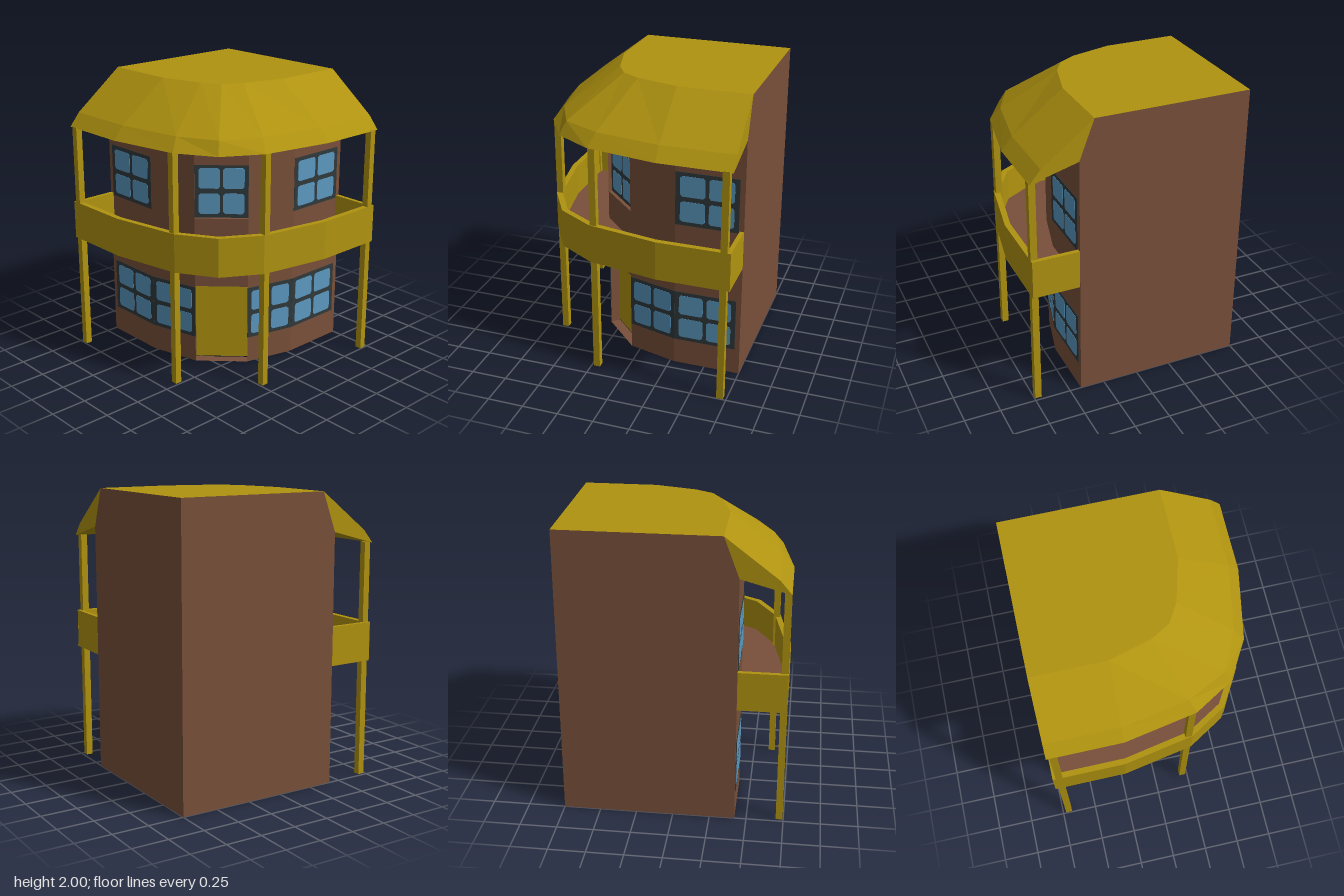
import * as THREE from 'three';

const mat = (name, color) => new THREE.MeshStandardMaterial({ name, color, side: THREE.DoubleSide });
const ochre = mat('ochre', 0xb09310);
const brick = mat('brown brick', 0x79503a);
const glass = mat('blue glass', 0x5b98c0);
const frameGrey = mat('dark frame', 0x303a3c);

// The building is symmetric about its diagonal: (x, z) -> (-z, -x)
const flip = ([x, z]) => [-z, -x];
const flip3 = ([x, y, z]) => [-z, y, -x];
const outline = (half, mid = []) => [...half, ...mid, ...half.map(flip).reverse()];

// Plan outlines, from the right end round the front to the back end
const wallHalf = [[0.75, 0.42], [0.28, 0.42], [-0.07, 0.33]];
const wall = outline(wallHalf, [[-0.2, 0.2]]);
const eave = outline([[0.75, 0.745], [0.25, 0.745], [-0.24, 0.655]], [[-0.5, 0.5]]);
const railInner = outline([[0.75, 0.705], [0.245, 0.705], [-0.225, 0.617]], [[-0.471, 0.471]]);
const kink = outline([[0.75, 0.67], [0.25, 0.67], [-0.2, 0.59]], [[-0.46, 0.46]]);
const crown = outline([[0.75, 0.32], [0.25, 0.32], [-0.04, 0.24]], [[-0.165, 0.165]]);
const EAVE = 1.64, KINK = 1.73, TOP = 2;
const RAIL0 = 0.825, RAIL1 = 1.095, FLOOR = 0.87;

const at = (line, y) => line.map(([x, z]) => [x, y, z]);

// Quads between a lower and an upper line
function strip(a, b) {
  return a.slice(1).map((p, i) => [a[i], b[i], b[i + 1], p]);
}

// Flat-shaded mesh from convex polygons
function facets(name, polygons, material) {
  const v = [];
  for (const p of polygons)
    for (let i = 1; i < p.length - 1; i++) v.push(...p[0], ...p[i], ...p[i + 1]);
  const g = new THREE.BufferGeometry();
  g.setAttribute('position', new THREE.Float32BufferAttribute(v, 3));
  g.computeVertexNormals();
  const m = new THREE.Mesh(g, material);
  m.name = name;
  return m;
}

function box(name, w, h, d, x, y, z, material) {
  const m = new THREE.Mesh(new THREE.BoxGeometry(w, h, d), material);
  m.position.set(x, y, z);
  m.name = name;
  return m;
}

// Pane outline with clipped corners
function paneGeometry(w, h, depth) {
  const c = 0.014, x = w / 2, y = h / 2;
  const s = new THREE.Shape([
    [-x + c, -y], [x - c, -y], [x, -y + c], [x, y - c],
    [x - c, y], [-x + c, y], [-x, y - c], [-x, -y + c],
  ].map(p => new THREE.Vector2(...p)));
  return new THREE.ExtrudeGeometry(s, { depth, bevelEnabled: false }).translate(0, 0, -depth / 2);
}

// Four-pane window between plan points a (left) and b (right), seen from inside and out
function windowUnit(name, a, b, y0, y1) {
  const dx = b[0] - a[0], dz = b[1] - a[1];
  const w = Math.hypot(dx, dz), h = y1 - y0;
  const g = new THREE.Group();
  g.name = name;
  g.position.set((a[0] + b[0]) / 2, (y0 + y1) / 2, (a[1] + b[1]) / 2);
  g.rotation.y = Math.atan2(-dz, dx);
  g.add(box('windowFrame', w, h, 0.006, 0, 0, 0, frameGrey));
  const pw = w * 0.395, ph = h * 0.385;
  const geo = paneGeometry(pw, ph, 0.0098);
  for (const sx of [-1, 1]) for (const sy of [-1, 1]) {
    const pane = new THREE.Mesh(geo, glass);
    pane.name = 'windowPane';
    pane.position.set(sx * (pw / 2 + w * 0.03), sy * (ph / 2 + h * 0.045), 0);
    g.add(pane);
  }
  return g;
}

// Opening in the corner face, set back by d along both axes
const cornerL = [-0.33, 0.07], cornerR = [-0.07, 0.33];
const setBack = ([x, z], d) => [x + d, z - d];
function recess(y0, y1, d) {
  const out = [cornerR, cornerL], inn = out.map(p => setBack(p, d));
  const jamb = i => [[out[i][0], y0, out[i][1]], [inn[i][0], y0, inn[i][1]],
    [inn[i][0], y1, inn[i][1]], [out[i][0], y1, out[i][1]]];
  return [jamb(0), jamb(1).reverse(),
    ...strip(at(out, y1), at(inn, y1)), ...strip(at(inn, y0), at(out, y0)).map(p => p.reverse())];
}

export function createModel() {
  const model = new THREE.Group();
  model.name = 'cornerBuilding';

  // Straight side and back walls
  const side = [[0.75, 0, 0.42], [0.75, 0, -0.75], [0.75, TOP, -0.75], [0.75, TOP, 0.32], [0.75, KINK, 0.42]];
  model.add(facets('sideWall', [side], brick));
  model.add(facets('backWall', [side.map(flip3).reverse()], brick));

  // Bowed street walls
  const right = wallHalf, left = wallHalf.map(flip).reverse();
  model.add(facets('streetWalls', [right, left].flatMap(l => strip(at(l, 0), at(l, KINK))), brick));

  // Corner wall with door and window recesses
  const corner = [cornerR, cornerL];
  const DOOR = 0.58, WIN0 = 1.08, WIN1 = 1.46;
  model.add(facets('cornerWall', [
    ...strip(at(corner, DOOR), at(corner, WIN0)),
    ...strip(at(corner, WIN1), at(corner, KINK)),
    ...recess(0, DOOR, 0.05), ...recess(WIN0, WIN1, 0.02),
  ], brick));
  const doorLine = corner.map(p => setBack(p, 0.05));
  model.add(facets('door', strip(at(doorLine, 0.005), at(doorLine, DOOR)), ochre));
  model.add(windowUnit('cornerWindow', setBack(cornerL, 0.02), setBack(cornerR, 0.02), WIN0, WIN1));

  // Street windows, mirrored across the diagonal
  const units = [
    [[-0.07, 0.33], [0.28, 0.42], 0.19, 0.57],
    [[0.28, 0.42], [0.715, 0.42], 0.19, 0.57],
    [[0.28, 0.42], [0.715, 0.42], WIN0, WIN1],
  ];
  for (const [a, b, y0, y1] of units) {
    model.add(windowUnit('frontWindow', a, b, y0, y1));
    model.add(windowUnit('sideWindow', flip(b), flip(a), y0, y1));
  }

  // Balcony parapet, floor and end panels
  model.add(facets('balconyParapet', [
    ...strip(at(eave, RAIL0), at(eave, RAIL1)),
    ...strip(at(eave, RAIL1), at(railInner, RAIL1)),
    ...strip(at(railInner, RAIL1), at(railInner, FLOOR)),
  ], ochre));
  model.add(facets('balconyFloor', [
    ...strip(at(railInner, FLOOR), at(wall, FLOOR)),
    ...strip(at(wall, RAIL0), at(eave, RAIL0)),
  ], brick));
  const railH = RAIL1 - RAIL0 - 0.002, railY = (RAIL0 + RAIL1) / 2;
  model.add(box('balconyEndPanel', 0.03, railH, 0.323, 0.735, railY, 0.582, ochre));
  model.add(box('balconyEndPanel', 0.323, railH, 0.03, -0.582, railY, -0.735, ochre));

  // Posts
  for (const p of [[0.705, 0.722], [-0.2125, 0.631]])
    for (const [x, z] of [p, flip(p)])
      model.add(box('post', 0.046, EAVE + 0.005, 0.046, x, (EAVE + 0.005) / 2, z, ochre));

  // Canopy roof: skirt, slope, flat top, underside and end caps
  const cap = [[0.75, EAVE, 0.745], [0.75, KINK, 0.42], [0.75, TOP, 0.32], [0.75, KINK, 0.67]];
  model.add(facets('roof', [
    ...strip(at(eave, EAVE), at(kink, KINK)),
    ...strip(at(kink, KINK), at(crown, TOP)),
    [[0.75, TOP, -0.75], ...at(crown, TOP).reverse()],
    ...strip(at(wall, KINK), at(eave, EAVE)),
    cap, cap.map(flip3).reverse(),
  ], ochre));

  return model;
}
